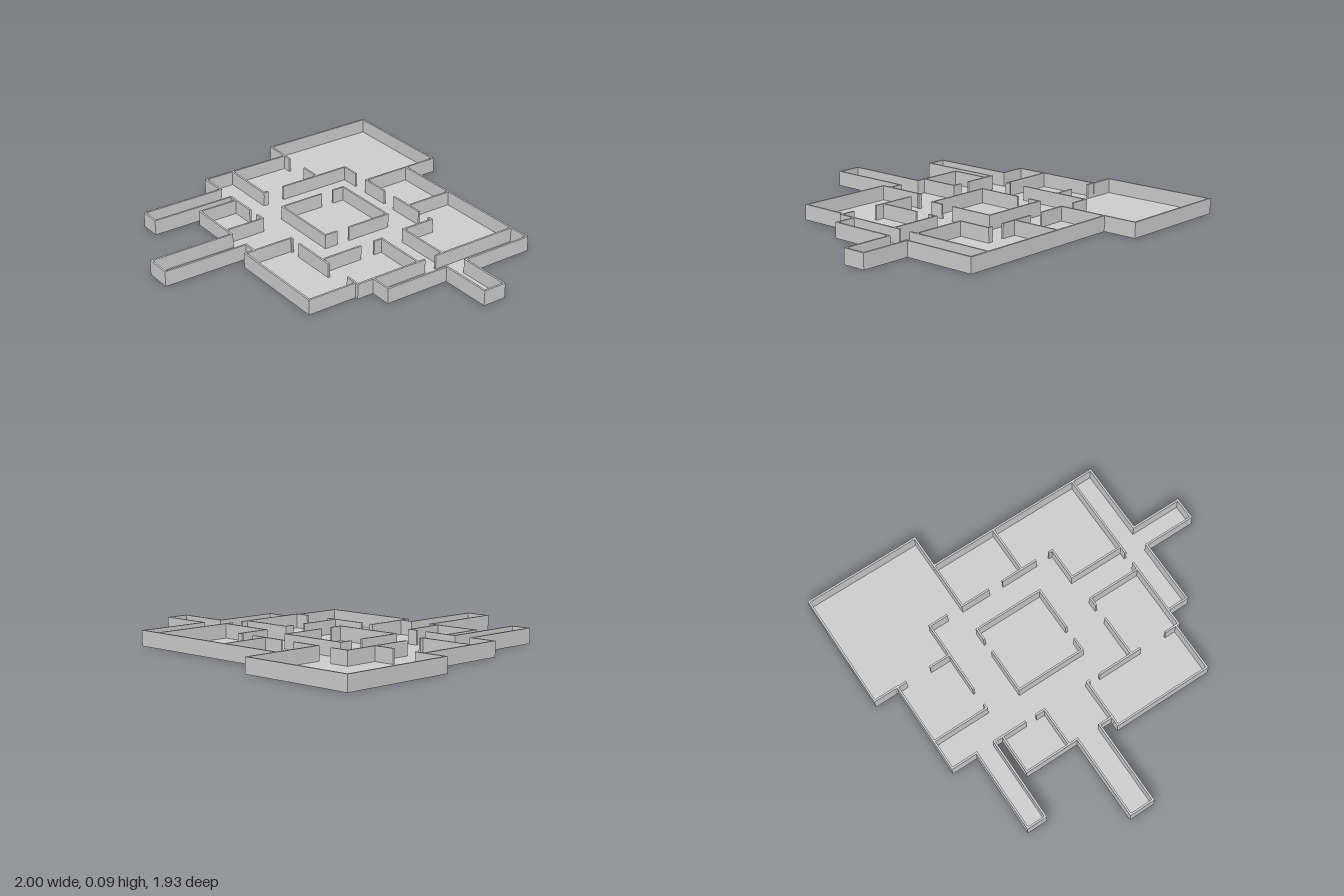
import * as THREE from 'three';

const HEIGHT = 0.085, FLOOR = 0.005, T = 0.011;

// Outer boundary of the floor plan, as x, z corners
const OUTLINE = [
  [-1, -0.968], [-0.32, -0.968], [-0.32, -0.773], [0.705, -0.773],
  [0.705, -0.355], [1, -0.355], [1, -0.22], [0.705, -0.22],
  [0.705, 0.155], [0.583, 0.155], [0.583, 0.25], [0.565, 0.25],
  [0.565, 0.535], [-0.017, 0.535], [-0.017, 0.48], [-0.085, 0.48],
  [-0.085, 0.965], [-0.235, 0.965], [-0.235, 0.48], [-0.55, 0.48],
  [-0.55, 0.25], [-0.59, 0.25], [-0.59, 0.73], [-0.71, 0.73],
  [-0.71, 0.25], [-0.86, 0.25], [-0.86, -0.285], [-1, -0.285],
];

// Inner walls: along x as [z, x0, x1 ...], along z as [x, z0, z1 ...]; pairs leave doorways
const ALONG_X = {
  northRoomWall: [-0.485, -0.535, -0.42, -0.33, -0.155, -0.07, 0.15, 0.23, 0.26],
  northEastRoomWall: [-0.295, 0.25, 0.58],
  northWestDoorWall: [-0.288, -0.87, -0.8, -0.655, -0.53],
  westRoomWall: [0.07, -0.86, -0.525],
  centreBackWall: [-0.328, -0.336, 0.073],
  centreFrontWall: [0.08, -0.336, 0.073],
  eastRoomWall: [-0.137, 0.267, 0.58],
  southRoomWall: [0.245, -0.59, -0.4, -0.336, -0.278, -0.017, 0.005, 0.065, 0.33, 0.49, 0.583],
};
const ALONG_Z = {
  northRoomSide: [-0.325, -0.775, -0.482],
  northRoomDivider: [0.056, -0.77, -0.482],
  northEastRoomSide: [0.256, -0.49, -0.29],
  eastCorridorWall: [0.577, -0.77, -0.25, -0.18, 0.25],
  westRoomSide: [-0.53, -0.49, -0.055, 0.045, 0.073],
  centreLeftWall: [0.069, -0.333, -0.07, 0.005, 0.085],
  centreRightWall: [-0.332, -0.333, -0.255, -0.18, 0.085],
  eastRoomSide: [0.271, -0.142, -0.085, 0, 0.25],
  southWestRoomSide: [-0.282, 0.24, 0.48],
  southEastRoomSide: [-0.012, 0.24, 0.5],
};

export function createModel() {
  const model = new THREE.Group();
  model.name = 'floorPlan';
  const material = new THREE.MeshStandardMaterial({ color: 0xcccccc, flatShading: true });
  const add = (parent, name, geometry) => {
    const mesh = new THREE.Mesh(geometry, material);
    mesh.name = name;
    parent.add(mesh);
    return mesh;
  };
  const toVectors = pts => pts.map(([x, z]) => new THREE.Vector2(x, z));
  const raise = (shape, depth) => new THREE.ExtrudeGeometry(shape, { depth, bevelEnabled: false })
    .rotateX(Math.PI / 2).translate(0, depth, 0);

  // Inset every corner along the inward normals of its two edges
  const n = OUTLINE.length;
  const inward = i => {
    const [a, b] = [OUTLINE[i % n], OUTLINE[(i + 1) % n]];
    return [-Math.sign(b[1] - a[1]), Math.sign(b[0] - a[0])];
  };
  const inner = OUTLINE.map(([x, z], i) => {
    const p = inward(i + n - 1), q = inward(i);
    return [x + T * (p[0] + q[0]), z + T * (p[1] + q[1])];
  });

  // Floor slab and the continuous outer wall
  add(model, 'floor', raise(new THREE.Shape(toVectors(OUTLINE)), FLOOR));
  const ring = new THREE.Shape(toVectors(OUTLINE));
  ring.holes.push(new THREE.Path(toVectors(inner)));
  add(model, 'outerWall', raise(ring, HEIGHT));

  // Partitions with door gaps
  const build = (walls, alongX) => {
    for (const [name, [at, ...ends]] of Object.entries(walls)) {
      const wall = new THREE.Group();
      wall.name = name;
      for (let i = 0; i < ends.length; i += 2) {
        const length = ends[i + 1] - ends[i], mid = (ends[i] + ends[i + 1]) / 2;
        const box = new THREE.BoxGeometry(alongX ? length : T, HEIGHT - FLOOR, alongX ? T : length);
        add(wall, 'wallPiece', box)
          .position.set(alongX ? mid : at, (HEIGHT + FLOOR) / 2, alongX ? at : mid);
      }
      model.add(wall);
    }
  };
  build(ALONG_X, true);
  build(ALONG_Z, false);
  return model;
}
